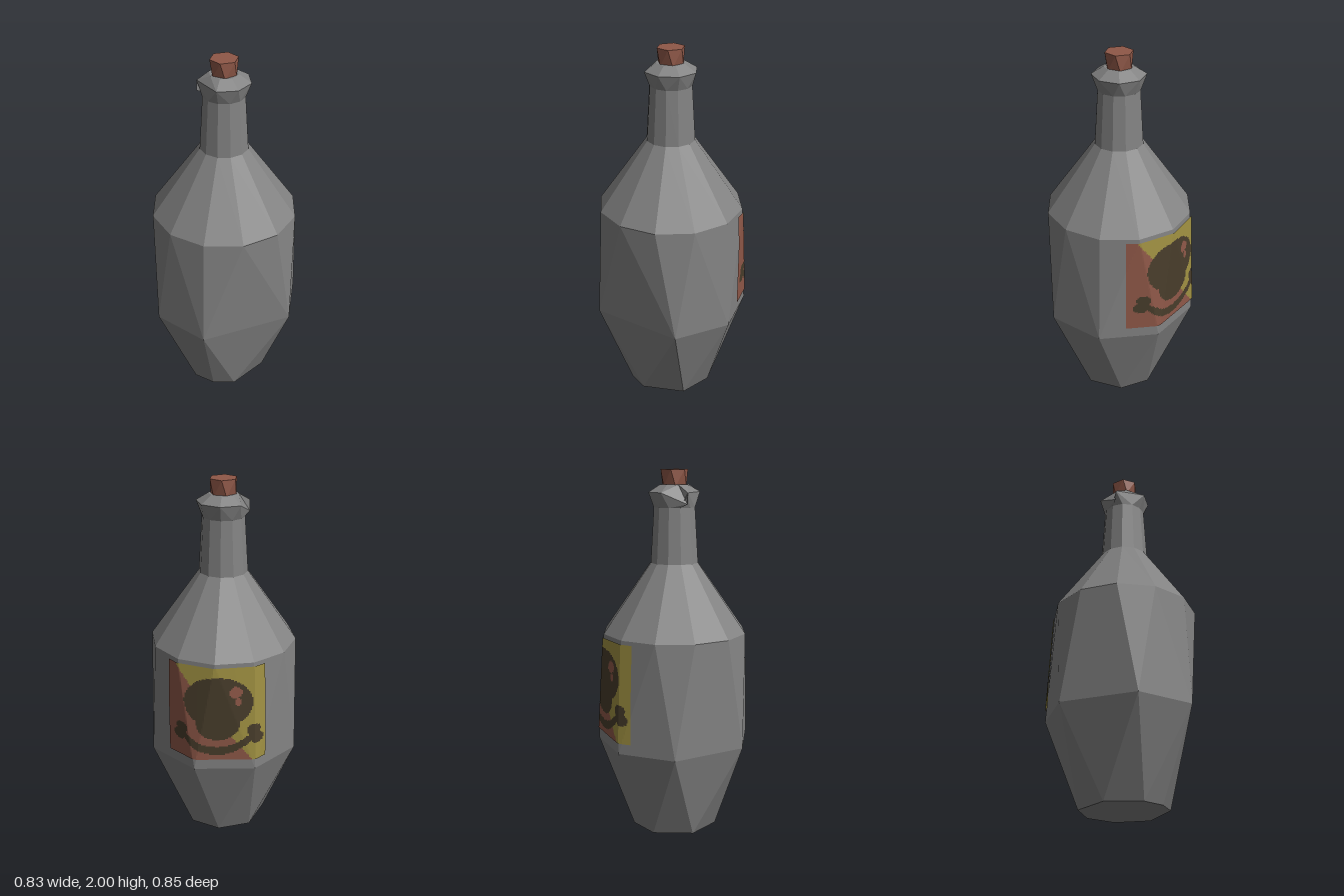
import * as THREE from 'three';

const CZ = -0.015; // bottle axis offset in z
const rad = THREE.MathUtils.degToRad;
const polar = (deg, r, y) => new THREE.Vector3(r * Math.sin(rad(deg)), y, CZ + r * Math.cos(rad(deg)));
const even = (n, start = 0) => Array.from({ length: n }, (_, i) => start + (360 * i) / n);

// A ring is a list of { a: angle, p: point }; angle 0 faces the front, 90 faces +x.
const ring = (y, r, angles) => angles.map((a) => ({ a, p: polar(a, r, y) }));

// Skins neighbouring rings of differing corner counts, with optional end caps.
function skin(rings, capBottom, capTop) {
  const pos = [];
  const tri = (...ps) => ps.forEach((p) => pos.push(p.x, p.y, p.z));
  const at = (rg, i) => ({ a: rg[i % rg.length].a + 360 * Math.floor(i / rg.length), p: rg[i % rg.length].p });
  for (let k = 0; k + 1 < rings.length; k++) {
    const lo = rings[k], hi = rings[k + 1];
    let i = 0, j = 0;
    while (i < lo.length || j < hi.length) {
      const l = at(lo, i), l2 = at(lo, i + 1), h = at(hi, j), h2 = at(hi, j + 1);
      const stepLow = j >= hi.length || (i < lo.length && l.a + l2.a <= h.a + h2.a);
      if (stepLow) { tri(l.p, l2.p, h.p); i++; } else { tri(l.p, h2.p, h.p); j++; }
    }
  }
  const cap = (rg, up) => {
    const c = new THREE.Vector3(0, rg[0].p.y, CZ);
    rg.forEach((v, i) => {
      const n = at(rg, i + 1).p;
      if (up) tri(c, v.p, n); else tri(c, n, v.p);
    });
  };
  if (capBottom) cap(rings[0], false);
  if (capTop) cap(rings[rings.length - 1], true);
  const g = new THREE.BufferGeometry();
  g.setAttribute('position', new THREE.Float32BufferAttribute(pos, 3));
  g.computeVertexNormals();
  return g;
}

// Label artwork: material index at u (left to right), v (bottom to top).
function labelColour(u, v) {
  const oval = (cu, cv, ru, rv) => ((u - cu) / ru) ** 2 + ((v - cv) / rv) ** 2 < 1;
  const backing = v < 1 - (u - 0.1) / 0.75 ? 1 : 0;
  if (oval(0.7, 0.74, 0.06, 0.06) || oval(0.72, 0.64, 0.03, 0.04)) return 1; // eye marks
  if (oval(0.53, 0.63, 0.33, 0.27) || oval(0.53, 0.42, 0.21, 0.2)) return 2; // skull
  const sag = 0.1 + 1.45 * (u - 0.52) ** 2;
  if (u > 0.16 && u < 0.88 && Math.abs(v - sag) < 0.045) return 2; // bone
  for (const [cu, cv] of [[0.17, 0.32], [0.14, 0.24], [0.87, 0.33], [0.9, 0.24]])
    if (oval(cu, cv, 0.07, 0.06)) return 2; // bone knobs
  return backing;
}

// Drapes the label just above the faceted wall of the bottle.
function labelGeometry(bottle) {
  const N = 72, A0 = 140, A1 = 220, Y0 = 0.56, Y1 = 1.1;
  const ray = new THREE.Raycaster();
  const grid = [];
  for (let j = 0; j <= N; j++) {
    for (let i = 0; i <= N; i++) {
      const a = A0 + ((A1 - A0) * i) / N, y = Y0 + ((Y1 - Y0) * j) / N;
      const from = polar(a, 1, y);
      const dir = new THREE.Vector3(0, y, CZ).sub(from).normalize();
      ray.set(from, dir);
      const hit = ray.intersectObject(bottle)[0];
      grid.push(polar(a, 1 - (hit ? hit.distance : 0.6) + 0.006, y));
    }
  }
  const index = [[], [], []];
  for (let j = 0; j < N; j++) {
    for (let i = 0; i < N; i++) {
      const a = j * (N + 1) + i, b = a + 1, c = b + N + 1, d = a + N + 1;
      index[labelColour((i + 0.5) / N, (j + 0.5) / N)].push(a, b, c, a, c, d);
    }
  }
  const g = new THREE.BufferGeometry().setFromPoints(grid);
  g.setIndex(index.flat());
  let start = 0;
  index.forEach((list, m) => { g.addGroup(start, list.length, m); start += list.length; });
  const flat = g.toNonIndexed();
  flat.groups = g.groups;
  flat.computeVertexNormals();
  return flat;
}

export function createModel() {
  const material = (name, color) => Object.assign(new THREE.MeshStandardMaterial({ color }), { name });
  const glass = material('greyGlass', 0x838383);
  const rust = material('rustBrown', 0x8f5848);
  const yellow = material('mustardYellow', 0xa09142);
  const dark = material('darkBrown', 0x483d2b);

  const group = new THREE.Group();
  group.name = 'corkedBottle';
  const add = (name, geometry, mat) => {
    const m = new THREE.Mesh(geometry, mat);
    m.name = name;
    group.add(m);
    return m;
  };

  // Irregular low-poly body, shoulder and neck
  const neckTop = ring(1.8, 0.115, even(12));
  const bottle = add('bottleBody', skin([
    ring(0, 0.24, [0, 30, 90, 138, 180, 225, 280, 330]),
    ring(0.5, 0.43, [0, 75, 120, 165, 210, 255, 315]),
    ring(1.12, 0.4, even(12)),
    ring(1.5, 0.133, even(12)),
    neckTop,
  ], true, false), glass);

  // Flared lip with one chipped corner
  const rim = ring(1.88, 0.145, [0, 45, 90, 135, 180, 225, 283, 285]);
  rim[6].p.copy(polar(284, 0.14, 1.82));
  rim[7].p.copy(polar(285, 0.14, 1.88));
  add('bottleLip', skin([neckTop, rim, ring(1.92, 0.08, even(8))], false, true), glass);

  // Slightly twisted six-sided cork
  add('cork', skin([ring(1.91, 0.07, even(6, 20)), ring(2, 0.076, even(6))], true, true), rust);

  // Painted label on the back
  add('label', labelGeometry(bottle), [yellow, rust, dark]);
  return group;
}
